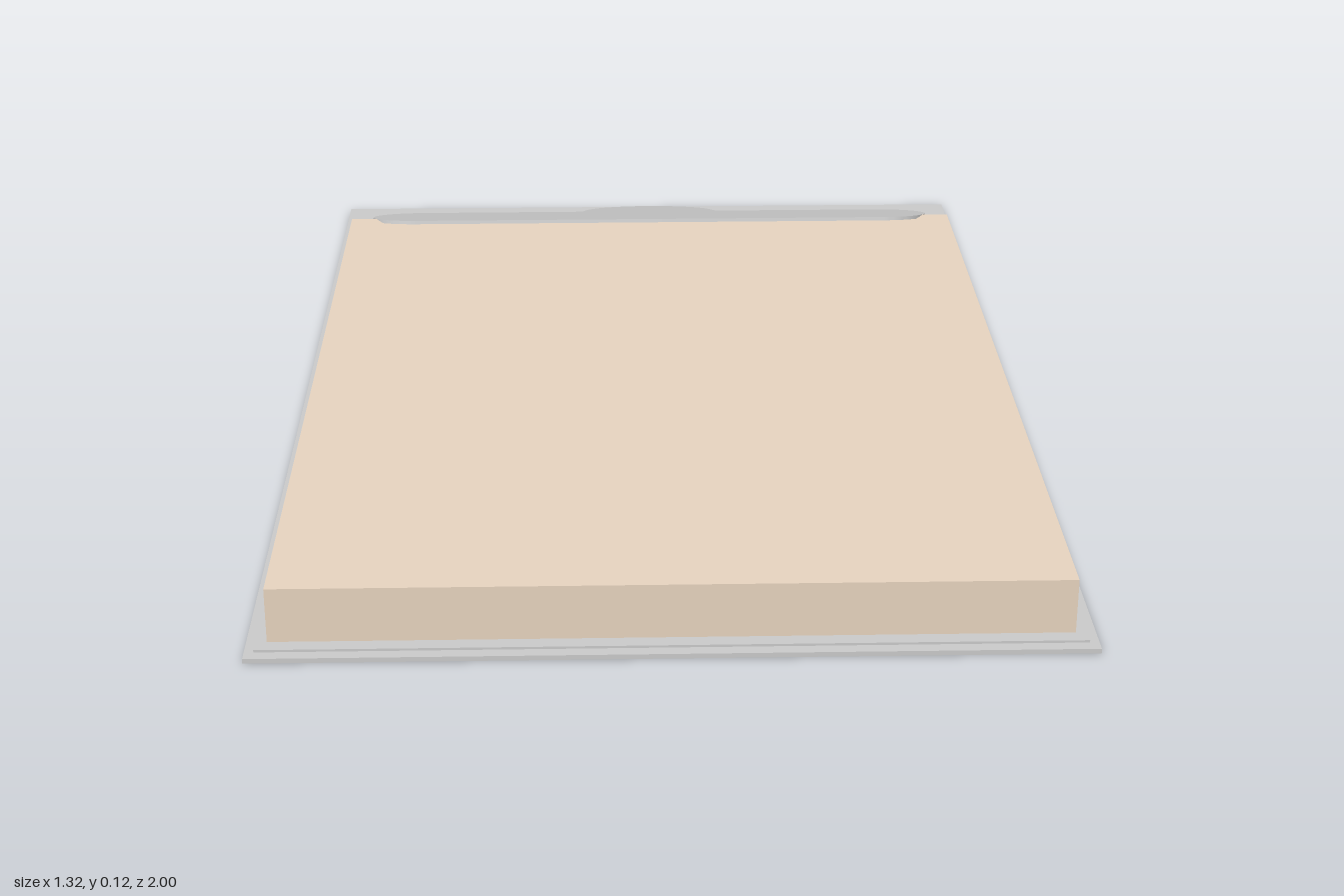
import * as THREE from 'three';
import { toCreasedNormals } from 'three/addons/utils/BufferGeometryUtils.js';

const grey = new THREE.MeshStandardMaterial({ color: 0xcccccc });
const tan = new THREE.MeshStandardMaterial({ color: 0xe8d5c0 });

// Rounded bar with a filleted round tab on its far edge; y of the outline points to the back (-z)
function tabOutline(Type, halfWidth, height, tabRadius, fillet, y0 = 0) {
  const r = height / 2, e = halfWidth - r, top = y0 + height;
  const d = Math.sqrt(tabRadius * tabRadius + 2 * tabRadius * fillet);
  const phi = Math.atan2(fillet, d);
  const s = new Type();
  s.moveTo(-e, y0);
  s.lineTo(e, y0);
  s.absarc(e, y0 + r, r, -Math.PI / 2, Math.PI / 2, false);
  s.lineTo(d, top);
  s.absarc(d, top + fillet, fillet, Math.PI * 1.5, Math.PI + phi, true);
  s.absarc(0, top, tabRadius, phi, Math.PI - phi, false);
  s.absarc(-d, top + fillet, fillet, -phi, -Math.PI / 2, true);
  s.lineTo(-e, top);
  s.absarc(-e, y0 + r, r, Math.PI / 2, Math.PI * 1.5, false);
  return s;
}

// Extrude an outline into a flat plate lying on y = 0
function plate(shape, thickness) {
  const geo = new THREE.ExtrudeGeometry(shape, { depth: thickness, bevelEnabled: false, curveSegments: 20 });
  geo.rotateX(-Math.PI / 2);
  return toCreasedNormals(geo, 0.6);
}

export function createModel() {
  const group = new THREE.Group();
  const add = (name, geo, x, y, z, mat = grey) => {
    const mesh = new THREE.Mesh(geo, mat);
    mesh.name = name;
    mesh.position.set(x, y, z);
    group.add(mesh);
    return mesh;
  };

  // Backing board with a hanging slot
  const board = new THREE.Shape();
  board.moveTo(-0.66, -1);
  board.lineTo(0.66, -1);
  board.lineTo(0.66, 1);
  board.lineTo(-0.66, 1);
  board.closePath();
  board.holes.push(tabOutline(THREE.Path, 0.15, 0.06, 0.045, 0.008, 0.76));
  add('backingBoard', plate(board, 0.008), 0, 0, 0);

  // Thin base sheet and the block of paper on it
  add('baseSheet', new THREE.BoxGeometry(1.29, 0.004, 1.68), 0, 0.01, 0.14);
  add('paperBlock', new THREE.BoxGeometry(1.254, 0.093, 1.63), 0, 0.0575, 0.14, tan);

  // Clip: a flat lower plate and a tilted upper plate resting on the paper
  const clip = plate(tabOutline(THREE.Shape, 0.585, 0.2, 0.14, 0.025), 0.007);
  add('clipLowerPlate', clip, 0, 0.008, -0.62);
  const tilt = 0.273;
  const upper = add('clipUpperPlate', clip, 0, 0.113, -0.617);
  upper.rotation.x = -tilt;
  upper.scale.z = 1 / Math.cos(tilt);

  return group;
}
